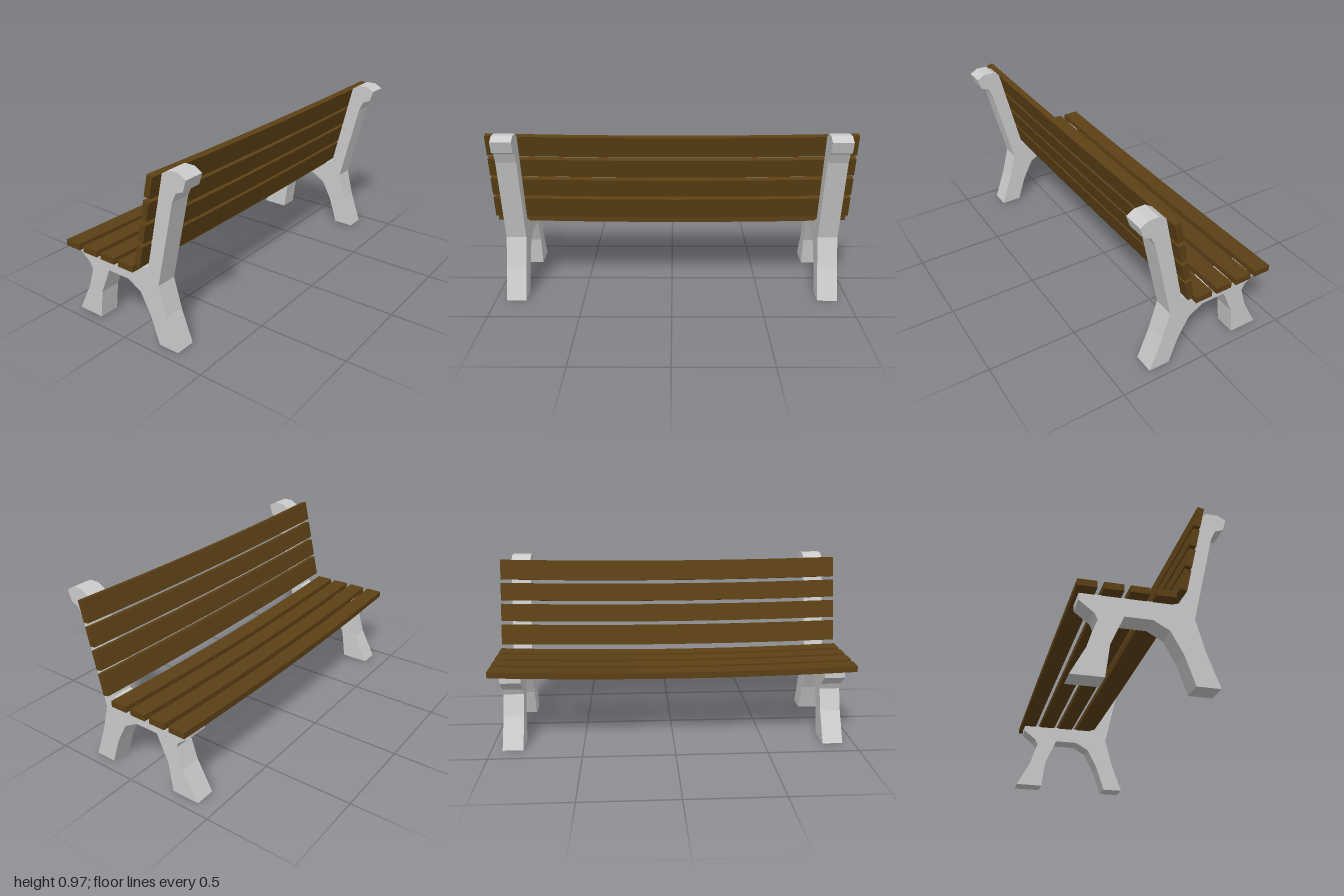
import * as THREE from 'three';

const iron = new THREE.MeshStandardMaterial({ color: 0xcccccc, flatShading: true });
const wood = new THREE.MeshStandardMaterial({ color: 0x5c4015, flatShading: true });

// Extrudes an x-y outline along z, centred on z = 0
function extrude(points, depth, steps = 1) {
  const shape = new THREE.Shape(points.map(([x, y]) => new THREE.Vector2(x, y)));
  const geometry = new THREE.ExtrudeGeometry(shape, { depth, steps, bevelEnabled: false });
  return geometry.translate(0, 0, -depth / 2);
}

// Plank with a four-corner section that sags towards the middle of its length
function makeSlat(name, corners, sagX, sagY) {
  const geometry = extrude(corners, 2, 10);
  const p = geometry.attributes.position;
  for (let i = 0; i < p.count; i++) {
    const k = 1 - p.getZ(i) ** 2;
    p.setXY(i, p.getX(i) - sagX * k, p.getY(i) - sagY * k);
  }
  geometry.computeVertexNormals();
  const mesh = new THREE.Mesh(geometry, wood);
  mesh.name = name;
  return mesh;
}

export function createModel() {
  const bench = new THREE.Group();
  bench.name = 'bench';

  // End frames: two splayed legs, seat rail and leaning back post in one outline
  const outline = [
    [-0.395, 0], [-0.235, 0], [-0.212, 0.163], [-0.145, 0.313], [-0.008, 0.313],
    [0.073, 0.267], [0.135, 0.15], [0.185, 0], [0.305, 0], [0.24, 0.18],
    [0.197, 0.343], [0.308, 0.813], [0.332, 0.865], [0.375, 0.883], [0.395, 0.943],
    [0.352, 0.968], [0.294, 0.968], [0.255, 0.943], [0.133, 0.423], [0.092, 0.41],
    [-0.36, 0.41], [-0.36, 0.372], [-0.285, 0.313], [-0.27, 0.28], [-0.307, 0.163],
  ];
  const frameGeometry = extrude(outline, 0.112);
  for (const side of [1, -1]) {
    const frame = new THREE.Mesh(frameGeometry, iron);
    frame.name = side > 0 ? 'frontEndFrame' : 'rearEndFrame';
    frame.position.z = side * 0.882;
    bench.add(frame);
  }

  // Seat slats
  [[-0.379, -0.285], [-0.255, -0.16], [-0.13, -0.037], [-0.007, 0.09]].forEach(([a, b], i) => {
    const corners = [[a, 0.41], [b, 0.41], [b, 0.444], [a, 0.444]];
    bench.add(makeSlat(`seatSlat${i + 1}`, corners, 0.008, 0.017));
  });

  // Back slats, lying along the front edge of the posts
  const base = new THREE.Vector2(0.142, 0.455);
  const up = new THREE.Vector2(0.113, 0.488).normalize();
  const out = new THREE.Vector2(-up.y, up.x);
  [[0, 0.118], [0.138, 0.241], [0.262, 0.365], [0.386, 0.502]].forEach(([low, high], i) => {
    const at = (along, thick) => base.clone().addScaledVector(up, along).addScaledVector(out, thick).toArray();
    const corners = [at(low, 0), at(high, 0), at(high, 0.034), at(low, 0.034)];
    bench.add(makeSlat(`backSlat${i + 1}`, corners, 0.004, 0.013));
  });

  return bench;
}
